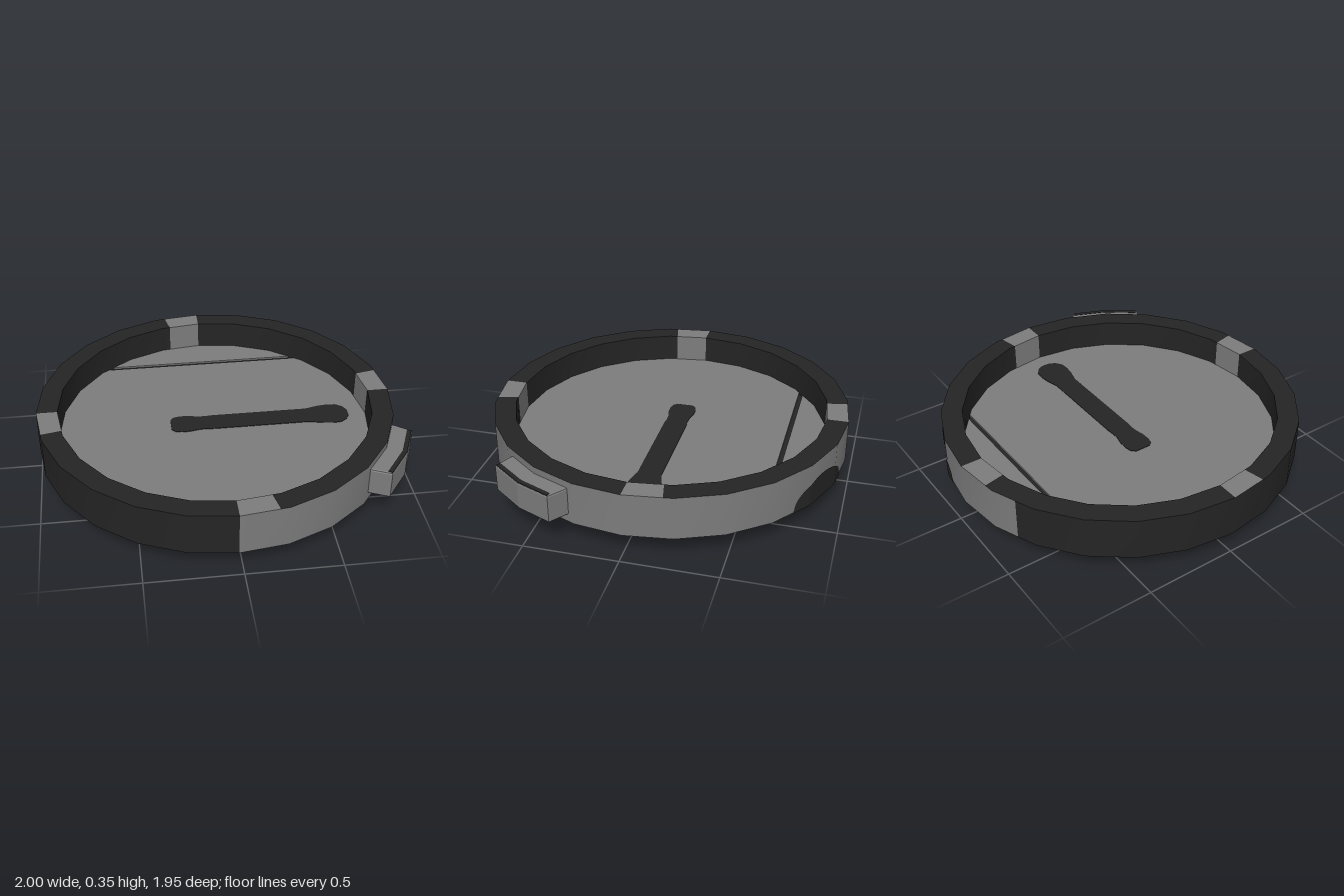
import * as THREE from 'three';

const R = 0.975, INNER = 0.86, TOP = 0.355, BASE = 0.12, FLOOR = 0.2;
const rad = THREE.MathUtils.degToRad;

// radius of a 24-sided ring at an angle in degrees (0 = +x, 90 = +z)
function polyRadius(r, deg) {
  const d = ((deg % 15) + 15) % 15;
  return r * Math.cos(rad(7.5)) / Math.cos(rad(d - 7.5));
}
function polar(r, deg, y) {
  return [r * Math.cos(rad(deg)), y, r * Math.sin(rad(deg))];
}

// angles from a to b, keeping every corner of the ring
function angles(a, b, step = 15) {
  const list = [a];
  for (let d = (Math.floor(a / step) + 1) * step; d < b; d += step) list.push(d);
  list.push(b);
  return list;
}

// surface grid over angles and v in 0..1
function grid(degs, rows, f) {
  const pos = [], idx = [], w = rows + 1;
  degs.forEach((d, i) => {
    for (let j = 0; j <= rows; j++) pos.push(...f(d, j / rows));
    if (i === 0) return;
    for (let j = 0; j < rows; j++) {
      const a = (i - 1) * w + j, b = a + w;
      idx.push(a, a + 1, b, b, a + 1, b + 1);
    }
  });
  const g = new THREE.BufferGeometry();
  g.setAttribute('position', new THREE.Float32BufferAttribute(pos, 3));
  g.setIndex(idx);
  g.computeVertexNormals();
  return g;
}

// slab with an x,z outline, its top at height y
function slab(points, y, depth, bevel = 0) {
  const shape = new THREE.Shape(points.map(p => new THREE.Vector2(p[0], p[1])));
  const g = new THREE.ExtrudeGeometry(shape, {
    depth: depth - 2 * bevel, bevelEnabled: bevel > 0, bevelThickness: bevel,
    bevelSize: bevel, bevelOffset: -bevel, bevelSegments: 2,
  });
  g.rotateX(Math.PI / 2);
  g.translate(0, y - bevel, 0);
  return g;
}
const flat = (r, deg) => [r * Math.cos(rad(deg)), r * Math.sin(rad(deg))];

export function createModel() {
  const grey = new THREE.MeshStandardMaterial({ color: 0x7c7c7c, side: THREE.DoubleSide });
  grey.name = 'grey';
  const black = new THREE.MeshStandardMaterial({ color: 0x242424, side: THREE.DoubleSide });
  black.name = 'black';

  const model = new THREE.Group();
  model.name = 'shallowDish';
  const body = new THREE.Group();
  body.name = 'body';
  body.position.x = -0.025;
  model.add(body);
  const add = (name, geometry, material) => {
    const m = new THREE.Mesh(geometry, material);
    m.name = name;
    body.add(m);
  };

  // one conical or flat ring section between two [radius, height] points
  const band = (name, a, b, p, q, mat) => add(name, grid(angles(a, b), 1, (d, v) =>
    polar(polyRadius(p[0] + (q[0] - p[0]) * v, d), d, p[1] + (q[1] - p[1]) * v)), mat);

  // outer wall in two colours
  band('outerWallDark', 90, 246.5, [R, BASE], [R, TOP], black);
  band('outerWallLight', 246.5, 450, [R, BASE], [R, TOP], grey);

  // rim top and inner wall, with four light notches
  for (let k = 0; k < 4; k++) {
    const a = k * 90;
    for (const [name, from, to, mat] of [['Dark', a, a + 78, black], ['Notch', a + 78, a + 90, grey]]) {
      band('rimTop' + name, from, to, [R, TOP], [INNER, TOP], mat);
      band('innerWall' + name, from, to, [INNER, TOP], [INNER, FLOOR - 0.012], mat);
    }
  }

  // arch on the back of the wall
  add('wallArch', grid(angles(280, 307, 1), 1, (d, v) => {
    const u = (d - 293.5) / 13.5;
    return polar(polyRadius(R, d) + 0.004, d, BASE + v * 0.14 * Math.sqrt(Math.max(0, 1 - u * u)));
  }), black);

  // domed underside: dark panel cut by three straight edges, light segments outside it
  const panelEdge = d => {
    const c = Math.cos(rad(d)), s = Math.sin(rad(d));
    let r = polyRadius(R, d);
    if (c > 0.01) r = Math.min(r, 0.78 / c);
    if (c < -0.01) r = Math.min(r, -0.865 / c);
    if (s - 0.028 * c > 0.01) r = Math.min(r, 0.523 / (s - 0.028 * c));
    return r;
  };
  const dome = (r, d) => polar(r, d, BASE * (r / polyRadius(R, d)) ** 2);
  const around = angles(0, 360, 1.5);
  add('undersidePanel', grid(around, 8, (d, v) => dome(v * panelEdge(d), d)).scale(1, 1, 1), black);
  add('undersideSegments', grid(around, 4, (d, v) => {
    const e = panelEdge(d);
    return dome(e + (polyRadius(R, d) - e) * v, d);
  }), grey);

  // floor in two pieces with a narrow groove between them
  const floorPart = (zCut, sign) => {
    const half = THREE.MathUtils.radToDeg(Math.asin(zCut / INNER));
    const [a, b] = sign > 0 ? [-half, 180 + half] : [180 + half, 360 - half];
    return angles(a, b).map(d => flat(polyRadius(INNER, d), d));
  };
  add('floorFront', slab(floorPart(0.642, 1), FLOOR, 0.012), grey);
  add('floorBack', slab(floorPart(0.668, -1), FLOOR, 0.012), grey);
  add('floorGroove', slab([[-0.57, -0.675], [0.57, -0.675], [0.57, -0.635], [-0.57, -0.635]],
    FLOOR - 0.011, 0.004), black);

  // bar on the floor with a lobe at each end, mirrored across its length
  const side = [[-0.245, 0.045], [-0.225, 0.067], [-0.19, 0.075], [-0.14, 0.073], [-0.09, 0.062],
    [-0.05, 0.06], [-0.01, 0.064], [0.53, 0.064], [0.6, 0.082], [0.66, 0.09], [0.71, 0.085],
    [0.745, 0.06], [0.763, 0.025]];
  const mid = -0.018;
  add('floorBar', slab([...side.map(([x, z]) => [x, mid - z]),
    ...side.slice().reverse().map(([x, z]) => [x, mid + z])], FLOOR + 0.003, 0.006), black);

  // side clasp following the wall, with a dark strip along its upper edge
  add('clasp', slab([flat(0.95, 17), flat(0.975, 17), flat(1.08, 19), flat(1.086, 29.7),
    flat(1.08, 40.8), flat(0.975, 42.6), flat(0.95, 42.6)], 0.317, 0.155, 0.01), grey);
  add('claspStrip', slab([flat(1.052, 19.3), flat(1.076, 19.3), flat(1.082, 29.7), flat(1.076, 40.5),
    flat(1.052, 40.5), flat(1.058, 29.7)], 0.319, 0.008), black);

  return model;
}
